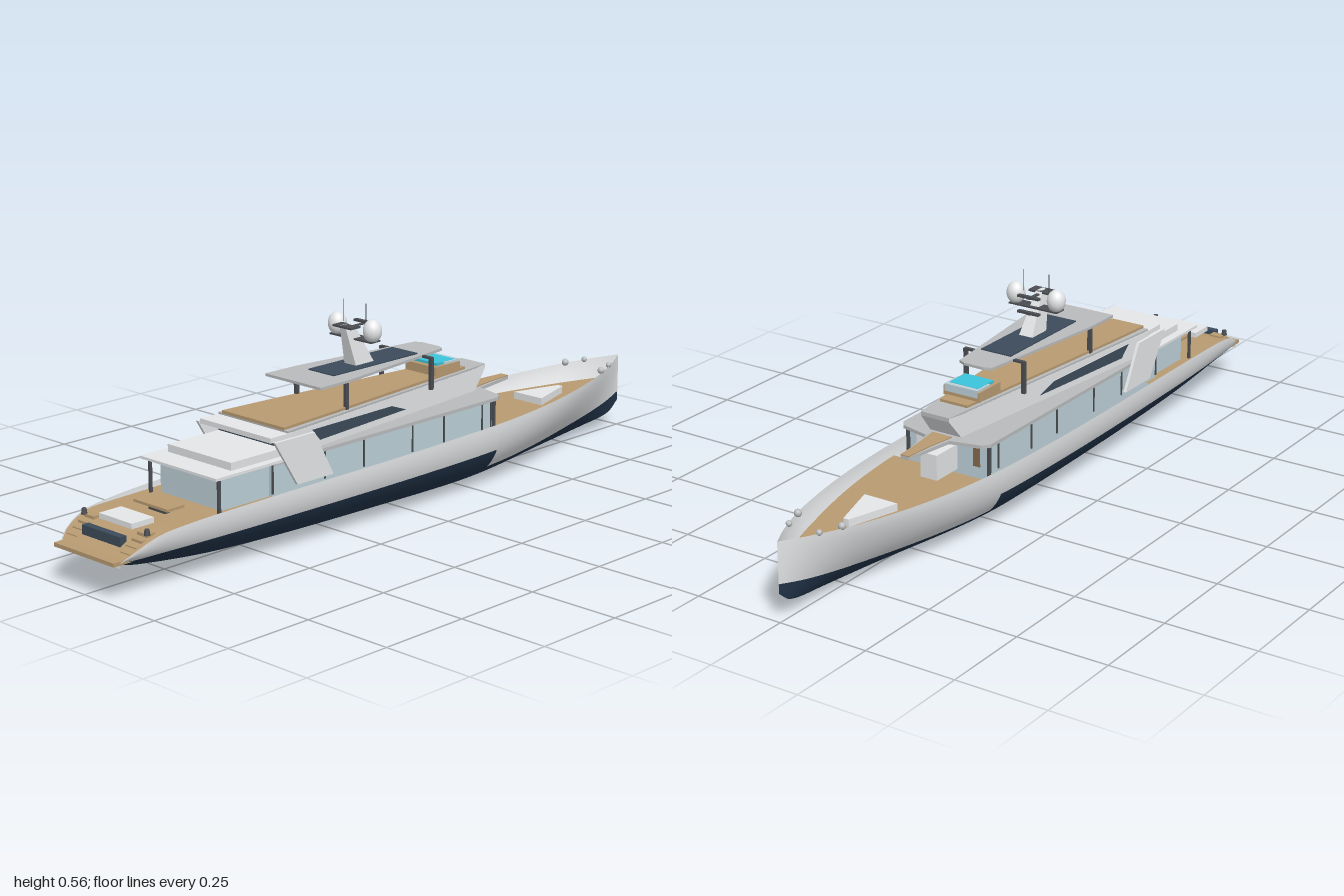
import * as THREE from 'three';

const mat = (color) => new THREE.MeshStandardMaterial({ color, side: THREE.DoubleSide });

// Smooth interpolation through [x, value] pairs
function curve(pts) {
  const slope = (i) => {
    const a = pts[Math.max(i - 1, 0)], b = pts[Math.min(i + 1, pts.length - 1)];
    return (b[1] - a[1]) / (b[0] - a[0]);
  };
  return (x) => {
    let i = 0;
    while (i < pts.length - 2 && x > pts[i + 1][0]) i++;
    const [x0, y0] = pts[i], [x1, y1] = pts[i + 1], h = x1 - x0;
    const t = (x - x0) / h, t2 = t * t, t3 = t2 * t;
    return y0 * (2 * t3 - 3 * t2 + 1) + slope(i) * h * (t3 - 2 * t2 + t)
      + y1 * (3 * t2 - 2 * t3) + slope(i + 1) * h * (t3 - t2);
  };
}

// Hull lines: sheer height, keel height and half breadth along the length
const sheer = curve([[-0.98, 0.1], [-0.93, 0.133], [-0.86, 0.155], [-0.6, 0.168], [0, 0.178], [0.4, 0.184], [0.7, 0.194], [1, 0.21]]);
const keel = curve([[-0.98, 0.085], [-0.9, 0.055], [-0.6, 0.02], [0, 0.003], [0.3, 0], [0.6, 0.009], [0.85, 0.03], [0.96, 0.045], [1, 0.075]]);
const beam = curve([[-0.98, 0.11], [-0.94, 0.13], [-0.85, 0.142], [-0.5, 0.158], [-0.1, 0.169], [0.2, 0.168], [0.4, 0.158], [0.6, 0.132], [0.8, 0.085], [0.92, 0.04], [1, 0]]);

function breadth(x, y) {
  const f = THREE.MathUtils.smoothstep(x, 0.2, 0.9);
  const t = THREE.MathUtils.clamp((sheer(x) - y) / (sheer(x) - keel(x)), 0, 1);
  return beam(x) * Math.pow(1 - Math.pow(t, 2.2 - 0.9 * f), 0.5 + 0.35 * f);
}
function paintLine(x, fore) {
  const y = fore ? 0.052 + 0.048 * Math.pow((x - 0.3) / 0.7, 3) : 0.104 + 0.006 * x;
  return THREE.MathUtils.clamp(y, keel(x) + 0.002, sheer(x) - 0.012);
}

// Surface through rows of points
function loft(rows) {
  const n = rows[0].length, idx = [];
  for (let i = 0; i < rows.length - 1; i++) for (let j = 0; j < n - 1; j++) {
    const a = i * n + j, b = a + n;
    idx.push(a, b, a + 1, b, b + 1, a + 1);
  }
  const g = new THREE.BufferGeometry();
  g.setAttribute('position', new THREE.Float32BufferAttribute(rows.flat(2), 3));
  g.setIndex(idx);
  g.computeVertexNormals();
  return g;
}
const range = (a, b, n) => Array.from({ length: n + 1 }, (_, i) => a + (b - a) * i / n);

export function createModel() {
  const model = new THREE.Group();
  const white = mat(0xe4e6e8), grey = mat(0xb9bbbd), teak = mat(0xb89b72), navy = mat(0x22344a),
    glass = mat(0xbdd0d8), tinted = mat(0x3c4b5a), dark = mat(0x4a4d52), cyan = mat(0x3cc4dc), brown = mat(0x86684a);

  const add = (name, geo, m, x = 0, y = 0, z = 0) => {
    const mesh = new THREE.Mesh(geo, m);
    mesh.name = name;
    mesh.position.set(x, y, z);
    model.add(mesh);
    return mesh;
  };
  // Box given by its limits
  const box = (name, m, x0, x1, y0, y1, z0, z1) => add(name, new THREE.BoxGeometry(x1 - x0, y1 - y0, z1 - z0), m,
    (x0 + x1) / 2, (y0 + y1) / 2, (z0 + z1) / 2);
  // Symmetric plan of [x, halfWidth] points extruded from y0 to y1
  const slab = (name, m, half, y0, y1) => {
    const pts = [...half, ...half.slice().reverse().map(([x, z]) => [x, -z])].map(p => new THREE.Vector2(...p));
    const g = new THREE.ExtrudeGeometry(new THREE.Shape(pts), { depth: y1 - y0, bevelEnabled: false });
    return add(name, g.rotateX(Math.PI / 2), m, 0, y1, 0);
  };
  // Side profile of [x, y] points extruded about z
  const profile = (name, m, pts, z, depth) => {
    const g = new THREE.ExtrudeGeometry(new THREE.Shape(pts.map(p => new THREE.Vector2(...p))), { depth, bevelEnabled: false });
    return add(name, g, m, 0, 0, z - depth / 2);
  };

  // Hull in aft and fore runs, with a stepped paint line
  for (const [x0, x1, fore] of [[-0.98, 0.3, false], [0.3, 1, true]]) {
    const xs = range(x0, x1, 44);
    add('lowerHull', loft(xs.map(x => range(-1, 1, 32).map(s => {
      const k = keel(x), y = k + (paintLine(x, fore) - k) * s * s;
      return [x, y, Math.sign(s) * breadth(x, y)];
    }))), navy);
    for (const side of [-1, 1]) add('upperHull', loft(xs.map(x => range(0, 1, 12).map(s => {
      const p = paintLine(x, fore), y = p + (sheer(x) - p) * (side > 0 ? s : 1 - s);
      return [x, y, side * breadth(x, y)];
    }))), white);
  }
  add('transom', loft([0.085, 0.1].map(y => [[-0.98, y, -0.11], [-0.98, y, 0.11]])), white);

  // Teak decks fitted inside the hull
  const deck = (name, x0, x1, level) => add(name, loft(range(x0, x1, 30).map(x => {
    const y = Math.min(level, sheer(x) - 0.004), b = breadth(x, y);
    return [[x, y, b], [x, y, -b]];
  })), teak);
  deck('aftDeck', -0.98, -0.45, 0.152);
  deck('foreDeck', 0.33, 0.985, 0.148);
  box('swimPlatform', teak, -1, -0.9, 0.094, 0.104, -0.11, 0.11);
  for (let i = 0; i < 4; i++) for (const s of [-1, 1])
    box('sternStep', teak, -0.955 + i * 0.018, -0.93 + i * 0.018, 0.108 + i * 0.012, 0.116 + i * 0.012, s * 0.098 - 0.018, s * 0.098 + 0.018);
  box('sternDoor', tinted, -0.945, -0.925, 0.104, 0.145, -0.07, 0.07);
  box('sunPad', white, -0.9, -0.83, 0.152, 0.166, -0.06, 0.06);
  box('tableTop', teak, -0.79, -0.735, 0.168, 0.175, -0.062, 0.062);
  box('tableLeg', dark, -0.77, -0.755, 0.152, 0.168, -0.03, 0.03);
  slab('foreHatch', white, [[0.6, 0.05], [0.74, 0.008]], 0.148, 0.168);
  for (const s of [-1, 1]) {
    add('bollard', new THREE.SphereGeometry(0.01, 12, 8), grey, 0.84, 0.205, s * 0.066);
    add('bollard', new THREE.SphereGeometry(0.008, 12, 8), grey, 0.9, 0.206, s * 0.045);
    add('sternBollard', new THREE.CylinderGeometry(0.006, 0.008, 0.015, 10), dark, -0.9, 0.158, s * 0.115);
  }

  // Main deck house with glazed sides
  box('mainHouse', glass, -0.5, 0.31, 0.12, 0.236, -0.122, 0.122);
  box('aftSaloon', glass, -0.66, -0.5, 0.152, 0.245, -0.11, 0.11);
  slab('mainRoof', grey, [[-0.5, 0.135], [0.32, 0.135], [0.34, 0.12], [0.36, 0.035], [0.5, 0.012]], 0.236, 0.245);
  slab('teakTongue', teak, [[0.34, 0.03], [0.42, 0.018], [0.5, 0.012]], 0.245, 0.248);
  box('aftRoof', white, -0.7, -0.45, 0.241, 0.248, -0.138, 0.138);
  box('aftRoofBlock', white, -0.63, -0.46, 0.248, 0.268, -0.115, 0.115);
  for (const s of [-1, 1]) {
    for (const x of [-0.5, -0.32, -0.18, 0, 0.12, 0.27, 0.305])
      box('mullion', dark, x - 0.002, x + 0.002, 0.16, 0.236, s * 0.123 - 0.002, s * 0.123 + 0.002);
    for (const x of [-0.68, 0.315])
      box('roofPost', dark, x - 0.004, x + 0.004, 0.15, 0.24, s * 0.125 - 0.003, s * 0.125 + 0.003);
    // Slanted side fins
    profile('sideFin', white, [[-0.51, 0.297], [-0.435, 0.175], [-0.31, 0.175], [-0.375, 0.297]], s * 0.14, 0.008);
  }
  box('foreDoor', brown, 0.309, 0.313, 0.17, 0.222, -0.095, -0.075);
  box('forePanel', white, 0.309, 0.313, 0.17, 0.225, 0.07, 0.1);
  box('foreLocker', white, 0.31, 0.4, 0.148, 0.216, -0.025, 0.025);

  // Upper house: wedge tapering toward the bow, with raked nose
  const half = (x) => 0.128 - 0.085 * Math.max(0, (x + 0.45) / 0.82);
  const wedge = (out, list) => loft(list.map(([x, y0, y1]) => {
    const b = half(x) + out;
    return [[x, y0, -b], [x, y0, b], [x, y1, b], [x, y1, -b], [x, y0, -b]];
  })).toNonIndexed();
  const house = wedge(0, [[-0.45, 0.245, 0.305], [0.325, 0.245, 0.306], [0.37, 0.3, 0.31]]);
  house.computeVertexNormals();
  add('upperHouse', house, white);
  box('upperAftWall', tinted, -0.452, -0.448, 0.247, 0.302, -0.124, 0.124);
  add('upperNose', loft([[0.3, 0.3].map((y, i) => [0.37, y, i ? -half(0.37) : half(0.37)]),
    [0.31, 0.31].map((y, i) => [0.37, y, i ? -half(0.37) : half(0.37)])]), grey);
  box('upperAftRoof', white, -0.51, -0.44, 0.293, 0.306, -0.128, 0.128);
  for (const s of [-1, 1]) {
    const win = [[-0.36, 0.295], [-0.33, 0.262], [0.02, 0.262], [-0.04, 0.284]];
    const pane = (pts) => loft([[0, 1], [3, 2]].map(e => e.map(i => [pts[i][0], pts[i][1], s * (half(pts[i][0]) + 0.0015)])));
    add('upperWindow', pane(win), tinted);
  }
  slab('upperDeck', teak, [[-0.45, 0.112], [-0.3, 0.1], [0.29, 0.042]], 0.31, 0.318);
  slab('upperDeckEdge', grey, [[-0.45, 0.126], [0.37, 0.043]], 0.303, 0.311);

  // Plunge pool
  box('poolSurround', teak, 0.16, 0.255, 0.316, 0.342, -0.055, 0.055);
  box('poolFront', glass, 0.2, 0.258, 0.328, 0.348, -0.05, 0.05);
  box('poolWater', cyan, 0.175, 0.245, 0.342, 0.349, -0.044, 0.044);

  // Hardtop on four posts
  slab('hardtop', grey, [[-0.31, 0.1], [-0.2, 0.098], [0.19, 0.05], [0.2, 0.03]], 0.382, 0.389);
  slab('solarPanel', tinted, [[-0.21, 0.046], [0.1, 0.046]], 0.389, 0.392);
  for (const x of [-0.21, 0.105]) for (const s of [-1, 1]) {
    box('hardtopPost', dark, x - 0.005, x + 0.005, 0.3, 0.387, s * 0.09 - 0.005, s * 0.09 + 0.005);
  }
  box('hardtopBeam', dark, 0.1, 0.11, 0.382, 0.388, -0.092, 0.092);

  // Raked mast with radars, domes and aerials
  const mast = new THREE.CylinderGeometry(0.0141, 0.0297, 0.11, 4, 1).rotateY(Math.PI / 4);
  mast.scale(1.6, 1, 1);
  const p = mast.attributes.position;
  for (let i = 0; i < p.count; i++) p.setX(i, p.getX(i) - p.getY(i) * 0.42);
  const mastFlat = mast.toNonIndexed();
  mastFlat.computeVertexNormals();
  add('mast', mastFlat, white, -0.093, 0.443, 0);
  box('mastCap', dark, -0.135, -0.1, 0.493, 0.498, -0.033, 0.033);
  box('domeArm', dark, -0.105, -0.07, 0.459, 0.463, -0.075, 0.075);
  for (const y of [0.453, 0.496]) {
    box('radarBar', dark, -0.058, -0.046, y - 0.003, y + 0.003, -0.033, 0.033);
    box('radarArm', dark, -0.11, -0.05, y - 0.006, y - 0.003, -0.005, 0.005);
  }
  for (const s of [-1, 1]) {
    add('satelliteDome', new THREE.SphereGeometry(0.025, 20, 14).scale(1, 1.22, 1), white, -0.087, 0.488, s * 0.063);
    add('aerial', new THREE.CylinderGeometry(0.001, 0.001, 0.095, 6), dark, -0.087, 0.508, s * 0.04);
  }
  return model;
}
